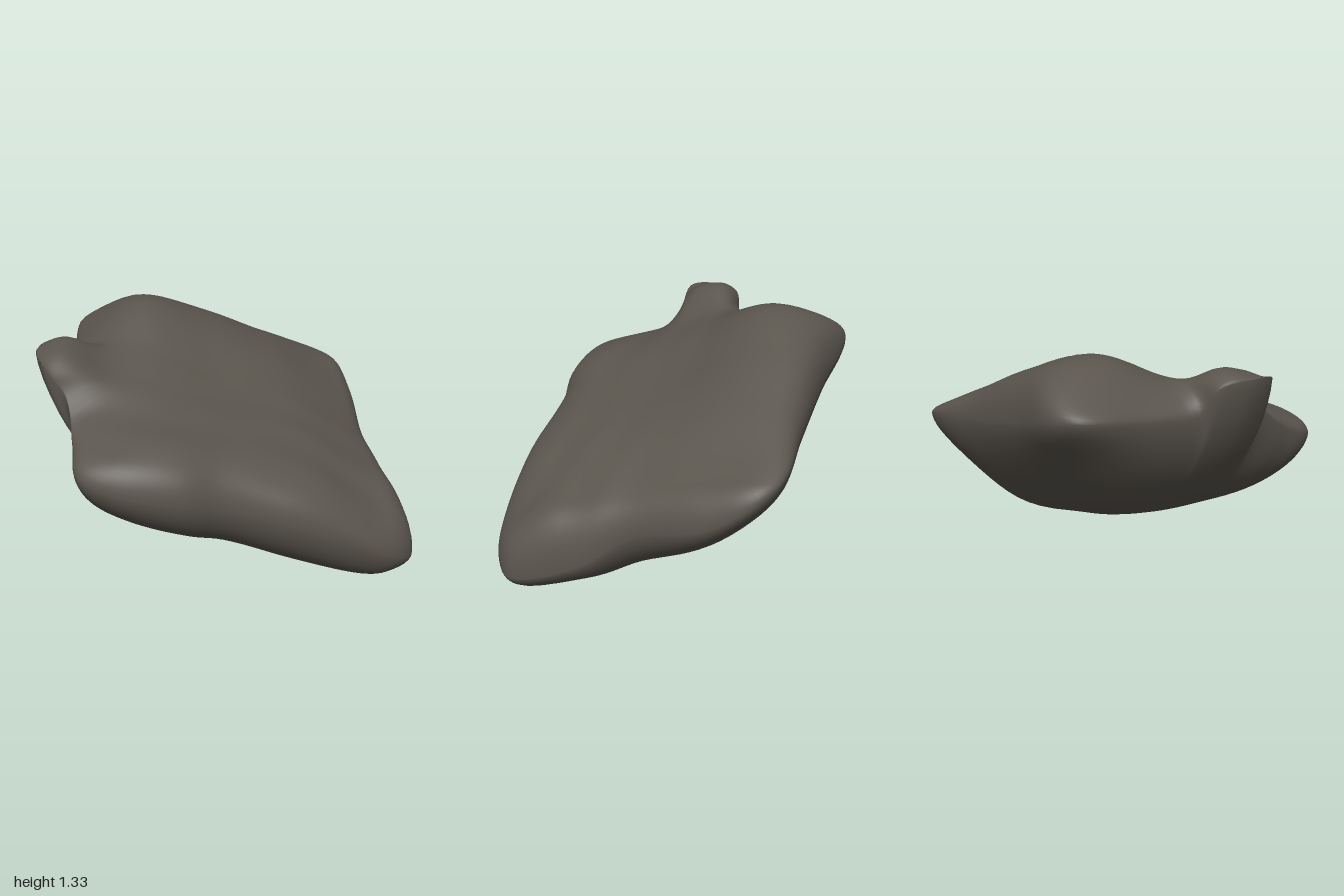
import * as THREE from 'three';

// Heights over x and z = -0.8, -0.4, 0, 0.4, 0.8 (rows run back to front)
const TOP = [
  [1.17, 1.29, 1.21, 1.04, 0.88],
  [1.16, 1.32, 1.18, 0.99, 0.79],
  [1.15, 1.13, 0.99, 0.86, 0.68],
  [0.98, 0.97, 0.87, 0.74, 0.56],
  [0.91, 0.9, 0.78, 0.64, 0.41],
];
const BOTTOM = [
  [0.9, 0.74, 0.6, 0.5, 0.52],
  [0.63, 0.46, 0.34, 0.25, 0.29],
  [0.5, 0.35, 0.23, 0.13, 0.09],
  [0.43, 0.33, 0.2, 0.06, -0.01],
  [0.46, 0.34, 0.21, 0.055, -0.11],
];

// Outline of the slab at its widest, counter-clockwise from above
const RIM = [
  [1, 0.12, 0.62], [0.96, 0.24, 0.23], [0.9, 0.44, -0.05], [0.93, 0.57, -0.45],
  [0.88, 0.74, -0.7], [0.74, 0.81, -0.79], [0.3, 0.88, -0.79], [-0.2, 0.99, -0.81],
  [-0.6, 1.1, -0.85], [-0.74, 1.11, -0.76], [-0.8, 1.06, -0.4], [-0.85, 1.06, -0.15],
  [-0.94, 1.21, -0.09], [-1, 1.24, 0.07], [-0.97, 1.22, 0.23], [-0.86, 1.05, 0.28],
  [-0.84, 0.87, 0.5], [-0.83, 0.79, 0.7], [-0.68, 0.74, 0.8], [-0.34, 0.66, 0.84],
  [-0.1, 0.59, 0.79], [0.35, 0.43, 0.81], [0.7, 0.27, 0.79], [0.9, 0.16, 0.73],
];
// The same outline without the knob on the right edge, used away from the rim
const CORE = RIM.map(([x, y, z]) => (x < -0.845 ? [-0.83, 1.02 - 0.2 * z, z] : [x, y, z]));

// Smooth interpolation of a height table
function cubic(v, s) {
  const i = Math.min(3, Math.floor(s)), f = s - i;
  const a = v[Math.max(0, i - 1)], b = v[i], c = v[i + 1], d = v[Math.min(4, i + 2)];
  return b + 0.5 * f * (c - a + f * (2 * a - 5 * b + 4 * c - d + f * (3 * (b - c) + d - a)));
}
function sample(table, x, z) {
  const grid = (v) => THREE.MathUtils.clamp((v + 0.8) / 0.4, 0, 4);
  return cubic(table.map((row) => cubic(row, grid(x))), grid(z));
}

function topHeight(x, z) {
  const knob = 0.22 * Math.exp(-(((x + 0.9) / 0.2) ** 2) - ((z - 0.08) / 0.2) ** 4);
  // Shallow ridges running along the slab, strongest near the front
  const ridges = 0.008 * Math.sin(17 * z + 5 * x + Math.sin(6 * x)) * Math.sin(7 * x - 4 * z)
    * THREE.MathUtils.smoothstep(z, -0.4, 0.5);
  return sample(TOP, x, z) + knob + ridges;
}

function slabGeometry() {
  const N = 144, RINGS = 24;
  const loop = (points) => {
    const curve = new THREE.CatmullRomCurve3(points.map((p) => new THREE.Vector3(...p)), true);
    return Array.from({ length: N }, (_, j) => curve.getPoint(j / N));
  };
  const rim = loop(RIM), core = loop(CORE);

  // Rings run from the top centre out to the rim and back under to the bottom centre
  const pos = [0, topHeight(0, 0), 0];
  for (let i = 1; i < 2 * RINGS; i++) {
    const upper = i <= RINGS;
    const t = Math.sin((i / RINGS) * Math.PI / 2);
    const round = upper ? Math.sqrt(Math.max(0, 1 - t ** 9)) : Math.max(0, 1 - t ** 4.5) ** 0.6;
    for (let j = 0; j < N; j++) {
      const p = core[j].clone().lerp(rim[j], t ** 9);
      const x = p.x * t, z = p.z * t;
      const h = upper ? topHeight(x, z) : sample(BOTTOM, x, z);
      pos.push(x, p.y + (h - p.y) * round, z);
    }
  }
  pos.push(0, sample(BOTTOM, 0, 0), 0);

  const index = [], last = pos.length / 3 - 1;
  for (let j = 0; j < N; j++) {
    const k = (j + 1) % N;
    index.push(0, 1 + j, 1 + k);
    for (let i = 0; i < 2 * RINGS - 2; i++) {
      const a = 1 + i * N, b = a + N;
      index.push(a + j, b + j, b + k, a + j, b + k, a + k);
    }
    index.push(last, last - N + k, last - N + j);
  }

  const geo = new THREE.BufferGeometry();
  geo.setAttribute('position', new THREE.Float32BufferAttribute(pos, 3));
  geo.setIndex(index);
  geo.computeBoundingBox();
  geo.translate(0, -geo.boundingBox.min.y, 0);
  geo.computeVertexNormals();
  return geo;
}

export function createModel() {
  const group = new THREE.Group();
  group.name = 'rock';
  const stone = new THREE.MeshStandardMaterial({ color: 0x5a554d });
  stone.name = 'dark stone';
  const slab = new THREE.Mesh(slabGeometry(), stone);
  slab.name = 'rockSlab';
  group.add(slab);
  return group;
}
